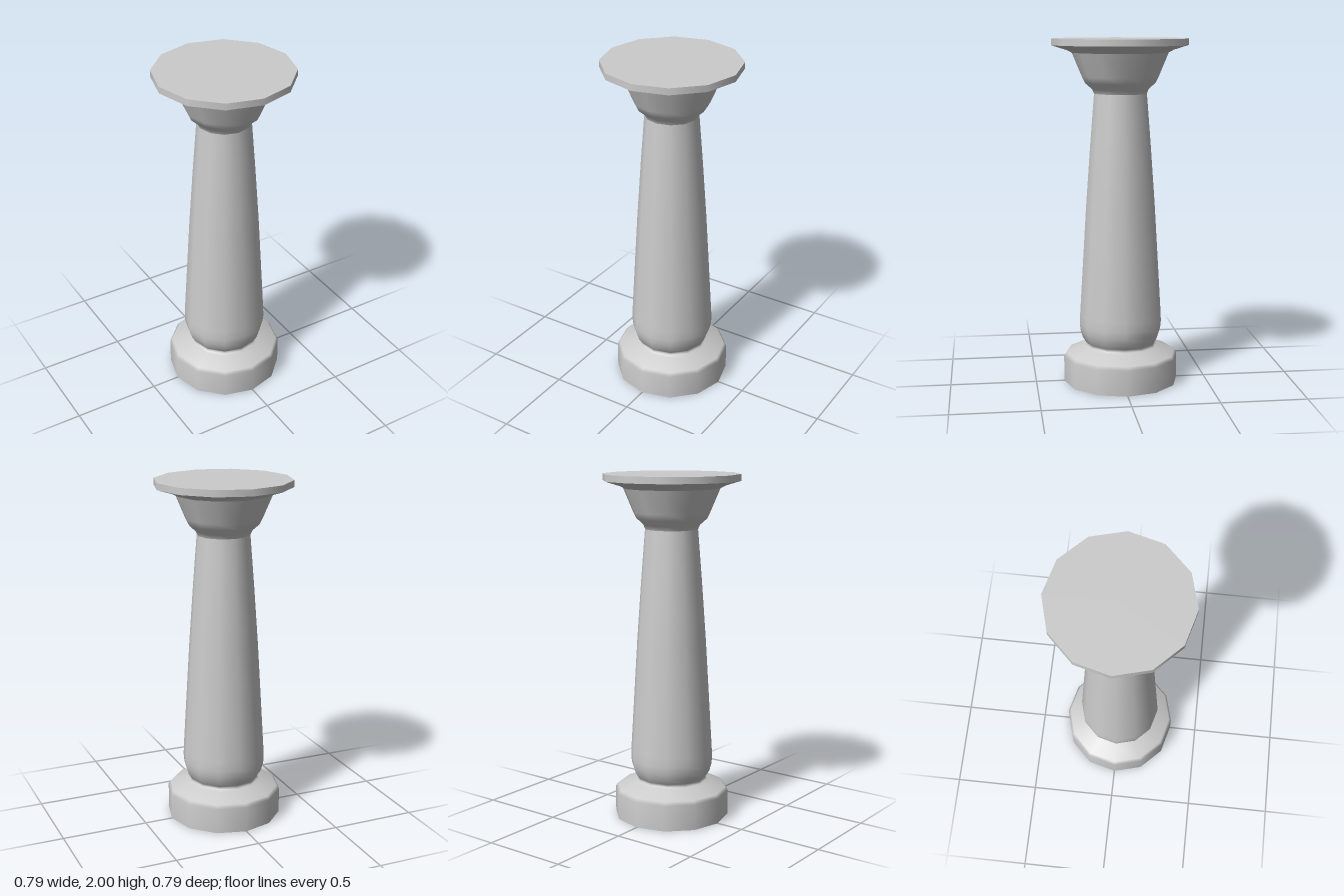
import * as THREE from 'three';

const SIDES = 12;

export function createModel() {
  const group = new THREE.Group();
  group.name = 'column';
  const material = new THREE.MeshStandardMaterial({ color: 0xcccccc });

  const add = (name, geometry) => {
    const mesh = new THREE.Mesh(geometry, material);
    mesh.name = name;
    group.add(mesh);
    return mesh;
  };
  // Turned part from [radius, height] points, bottom to top
  const turned = (name, points) =>
    add(name, new THREE.LatheGeometry(points.map(([r, y]) => new THREE.Vector2(r, y)), SIDES));
  // Flat twelve-sided face closing an end
  const cap = (name, radius, y, facing) => {
    const disc = new THREE.CircleGeometry(radius, SIDES);
    disc.rotateX(-facing * Math.PI / 2);
    add(name, disc).position.y = y;
  };

  // Base with sloped shoulder and a short neck
  cap('baseUnderside', 0.335, 0, -1);
  turned('base', [[0.335, 0], [0.335, 0.15], [0.32, 0.17], [0.22, 0.208], [0.207, 0.217]]);
  turned('baseNeck', [[0.207, 0.217], [0.2, 0.225], [0.207, 0.236]]);

  // Tapering shaft with rounded foot
  turned('shaft', [
    [0.207, 0.236], [0.225, 0.265], [0.237, 0.305], [0.241, 0.345], [0.239, 0.4],
    [0.2, 1.05], [0.175, 1.4], [0.152, 1.69],
  ]);

  // Flared capital
  turned('capital', [
    [0.152, 1.69], [0.163, 1.715], [0.203, 1.75], [0.22, 1.785], [0.277, 1.92],
  ]);
  turned('capitalFlare', [[0.277, 1.92], [0.305, 1.935], [0.393, 1.962]]);

  // Thin top slab
  turned('topSlabEdge', [[0.393, 1.962], [0.393, 2]]);
  cap('topSlabFace', 0.393, 2, 1);

  return group;
}
